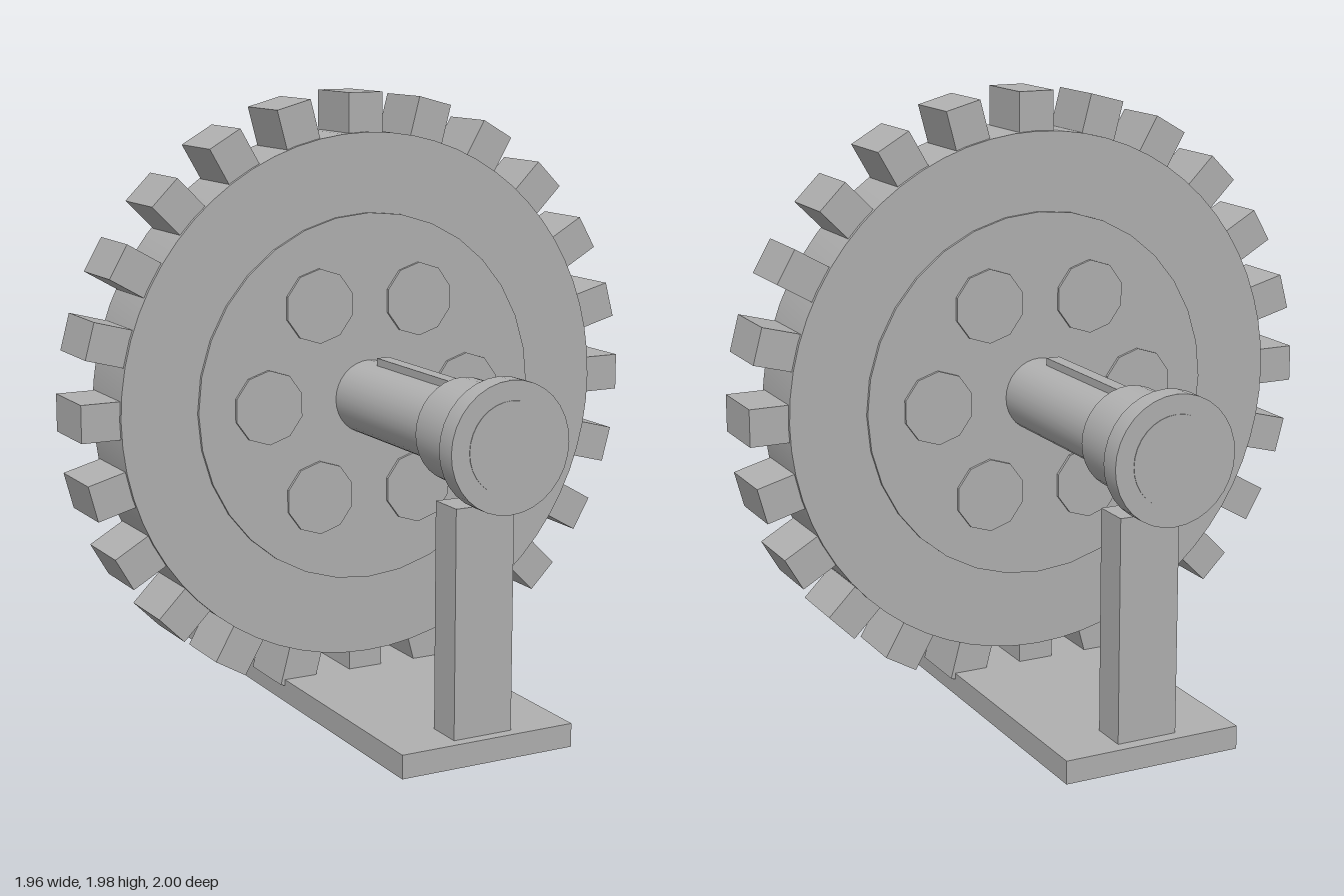
import * as THREE from 'three';
import { toCreasedNormals } from 'three/addons/utils/BufferGeometryUtils.js';

export function createModel() {
  const model = new THREE.Group();
  model.name = 'gearOnStand';
  const steel = new THREE.MeshStandardMaterial({ name: 'steel grey', color: 0xb0b0b0 });
  const axisY = 1;

  const add = (name, geometry, x, y, z, parent = model) => {
    const mesh = new THREE.Mesh(geometry, steel);
    mesh.name = name;
    mesh.position.set(x, y, z);
    parent.add(mesh);
    return mesh;
  };
  const box = (name, w, h, d, x, y, z, parent) =>
    add(name, new THREE.BoxGeometry(w, h, d), x, y, z, parent);
  // Cylinder lying along z, from z0 to z1
  const disc = (name, r, z0, z1, sides, x = 0, y = 0, parent = model) => {
    const g = new THREE.CylinderGeometry(r, r, z1 - z0, sides).rotateX(Math.PI / 2);
    return add(name, toCreasedNormals(g, 0.5), x, y, (z0 + z1) / 2, parent);
  };

  // Gear wheel with a ring of square teeth
  const gear = new THREE.Group();
  gear.name = 'gear';
  gear.position.y = axisY;
  model.add(gear);
  disc('wheel', 0.855, -0.12, 0.12, 64, 0, 0, gear);
  disc('webPlate', 0.6, -0.13, 0.13, 32, 0, 0, gear);
  for (let i = 0; i < 24; i++) {
    const a = (i / 24) * Math.PI * 2;
    const tooth = box('tooth', 0.13, 0.12, 0.216, Math.cos(a) * 0.915, Math.sin(a) * 0.915, 0, gear);
    tooth.rotation.z = a;
  }
  // Six round pads raised on both sides of the web
  for (let i = 0; i < 6; i++) {
    const a = (i / 6) * Math.PI * 2;
    disc('webPad', 0.12, -0.14, 0.14, 10, Math.cos(a) * 0.36, Math.sin(a) * 0.36, gear);
  }

  // Axle with a key, bearing, bolts and end cap on each side
  const axle = new THREE.Group();
  axle.name = 'axle';
  axle.position.y = axisY + 0.004;
  model.add(axle);
  disc('shaft', 0.12, -0.94, 0.94, 32, 0, 0, axle);
  for (const s of [1, -1]) {
    const end = new THREE.Group();
    end.name = s > 0 ? 'frontAxleEnd' : 'backAxleEnd';
    if (s < 0) end.rotation.y = Math.PI;
    axle.add(end);
    box('key', 0.045, 0.04, 0.5, 0, 0.122, 0.475, end);
    disc('bearing', 0.16, 0.72, 0.885, 32, 0, 0, end);
    disc('bearingNeck', 0.15, 0.885, 0.94, 32, 0, 0, end);
    disc('endCap', 0.2, 0.928, 0.998, 32, 0, -0.004, end);
    disc('endCapCentre', 0.14, 0.99, 1, 32, 0, -0.004, end);
    for (let i = 0; i < 4; i++) {
      const a = Math.PI / 4 + (i * Math.PI) / 2;
      disc('bolt', 0.012, 0.88, 0.93, 8, Math.cos(a) * 0.15, Math.sin(a) * 0.15, end);
    }
  }

  // Base plate and the two uprights passing through it
  box('basePlate', 0.594, 0.075, 1.79, 0, 0.0475, 0);
  box('frontPost', 0.2, 0.8, 0.12, 0, 0.4, 0.8);
  box('backPost', 0.2, 0.8, 0.12, 0, 0.4, -0.795);

  return model;
}
